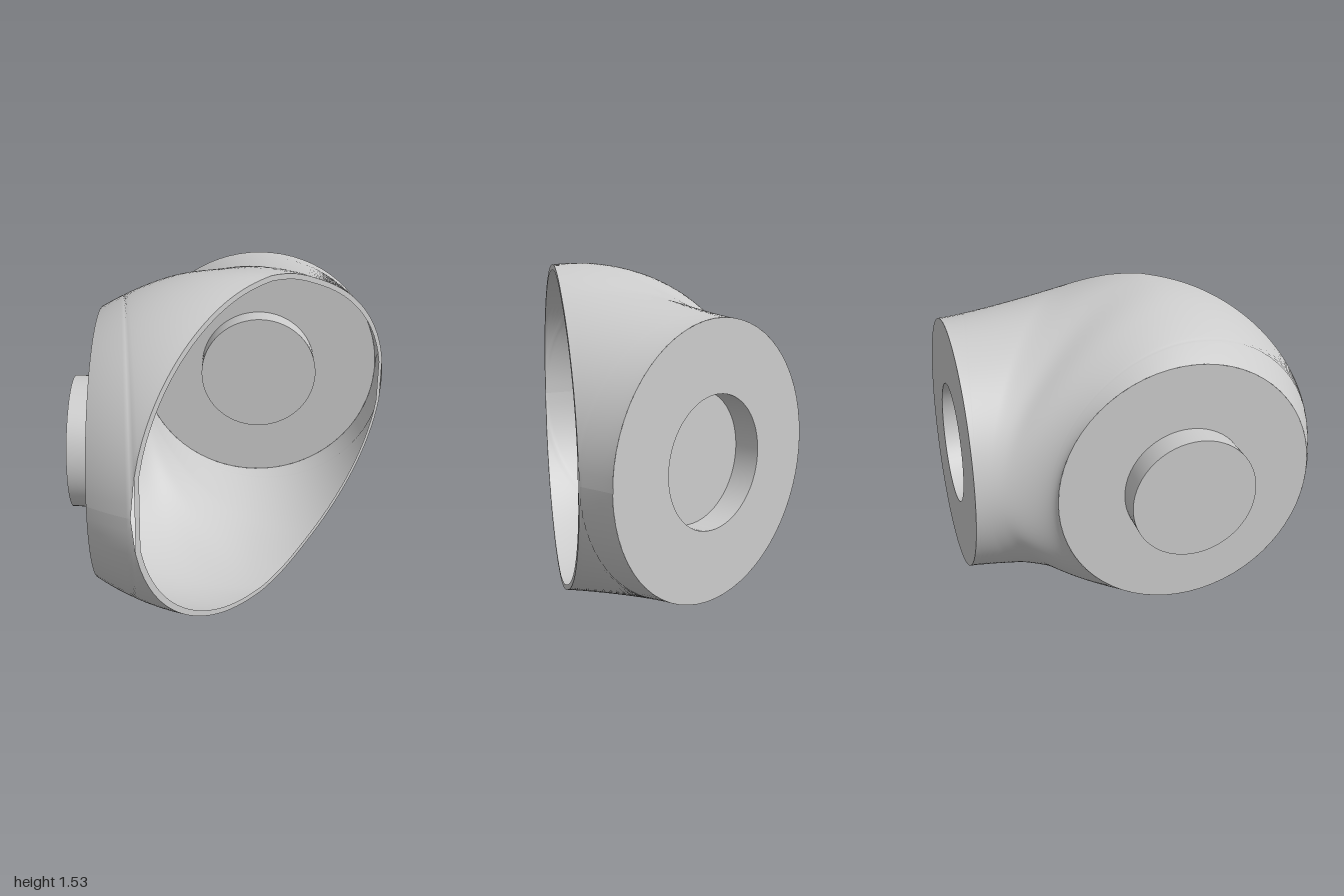
import * as THREE from 'three';
import { toCreasedNormals } from 'three/addons/utils/BufferGeometryUtils.js';

const MID_Y = 0.767;
// Elbow pivot (x, z) and the two directions in which the end discs lie
const PIVOT = [-0.63, -0.255];
const DIR_A = [0.574, 0.819];
const DIR_B = [0.819, -0.574];
const AXIS_A = 0.94, AXIS_B = 0.697;     // distance of each disc centre from the pivot
const RADIUS_A = 0.592, RADIUS_B = 0.6, RADIUS_MID = 0.765;
const RIM_X = 0.4996, RIM_SLOPE = -0.0464; // opening plane: x = RIM_X + RIM_SLOPE * z

const material = new THREE.MeshStandardMaterial({ color: 0xcccccc, side: THREE.DoubleSide });

function toWorld(a, b, y) {
  return [
    PIVOT[0] + a * DIR_A[0] + b * DIR_B[0],
    MID_Y + y,
    PIVOT[1] + a * DIR_A[1] + b * DIR_B[1],
  ];
}

// Flaring radius of the two arms, blended across the bend
function armRadius(theta, rho) {
  const a = rho * Math.cos(theta), b = rho * Math.sin(theta);
  const u = Math.min(1, Math.max(0, b / AXIS_B));
  const v = Math.min(1, Math.max(0, a / AXIS_A));
  const rA = RADIUS_A + (RADIUS_MID - RADIUS_A) * (1 - Math.pow(1 - u, 2.5));
  const rB = RADIUS_B + (RADIUS_MID - RADIUS_B) * Math.pow(v, 1.3);
  return THREE.MathUtils.lerp(rA, rB, THREE.MathUtils.smoothstep(theta, 0.3, 1.0));
}

// One cross-section of the elbow in the half-plane at angle theta
function section(theta, steps) {
  const c = Math.max(Math.cos(theta), 1e-9), s = Math.sin(theta);
  const inner = 1 / Math.hypot(c / (AXIS_A - RADIUS_A), s / (AXIS_B - RADIUS_B));
  const centre = Math.pow(Math.pow(c / AXIS_A, 8) + Math.pow(s / AXIS_B, 8), -1 / 8);
  const g = Math.max(c, s);
  let outer = centre + RADIUS_A / g;
  for (let k = 0; k < 25; k++) outer = centre + armRadius(theta, outer) / g;

  // Cut the section off at the opening plane
  const dx = c * DIR_A[0] + s * DIR_B[0], dz = c * DIR_A[1] + s * DIR_B[1];
  const den = dx - RIM_SLOPE * dz;
  const hit = (RIM_X + RIM_SLOPE * PIVOT[1] - PIVOT[0]) / den;
  const cut = den > 0 && hit < outer;
  const k1 = cut ? (hit - centre) / (hit > centre ? outer - centre : centre - inner) : 1;
  const end = Math.acos(-Math.max(-1, Math.min(1, k1)));

  const points = [];
  for (let j = 0; j <= steps; j++) {
    const psi = end * (2 * j / steps - 1);
    const k = -Math.cos(psi);
    const rho = centre + k * (k < 0 ? centre - inner : outer - centre);
    const r = armRadius(theta, rho);
    const q = k < 0 ? k : (rho - centre) * g / r;
    const y = Math.sign(psi) * r * Math.sqrt(Math.max(0, 1 - q * q));
    points.push(toWorld(rho * c, rho * s, y));
  }
  return { points, cut };
}

// Indexed surface through rows of equal length
function gridSurface(rows) {
  const n = rows[0].length, index = [];
  for (let i = 0; i < rows.length - 1; i++) {
    for (let j = 0; j < n - 1; j++) {
      const p = i * n + j, q = p + n;
      index.push(p, p + 1, q, p + 1, q + 1, q);
    }
  }
  const geometry = new THREE.BufferGeometry();
  geometry.setAttribute('position', new THREE.Float32BufferAttribute(rows.flat(2), 3));
  geometry.setIndex(index);
  geometry.computeVertexNormals();
  return geometry;
}

// End plate with a round pressed step rising along the given direction
function endPlate(name, radius, centre, normal) {
  const profile = [[0, 0.12], [0.288, 0.12], [0.288, 0], [radius, 0]];
  const lathe = new THREE.LatheGeometry(profile.map(([x, y]) => new THREE.Vector2(x, y)), 64);
  const mesh = new THREE.Mesh(toCreasedNormals(lathe, 0.6), material);
  mesh.name = name;
  mesh.position.set(...centre);
  mesh.quaternion.setFromUnitVectors(new THREE.Vector3(0, 1, 0), normal.normalize());
  return mesh;
}

export function createModel() {
  const group = new THREE.Group();
  group.name = 'elbowHousing';

  // Elbow shell, with rows packed closer near both end discs
  const N = 128, M = 72;
  const sections = [];
  for (let i = 0; i <= N; i++) {
    sections.push(section(Math.PI / 4 * (1 - Math.cos(Math.PI * i / N)), M));
  }
  const shell = new THREE.Mesh(gridSurface(sections.map((s) => s.points)), material);
  shell.name = 'shell';
  group.add(shell);

  // Narrow flat lip running round the opening
  const open = sections.filter((s) => s.cut);
  const loop = [
    ...open.map((s) => s.points[M]),
    ...open.map((s) => s.points[0]).reverse(),
  ];
  loop.push(loop[0]);
  const midZ = 0.08;
  const mid = [RIM_X + RIM_SLOPE * midZ, MID_Y, midZ];
  const lipEdge = loop.map((p) => p.map((v, k) => mid[k] + (v - mid[k]) * 0.968));
  const lip = new THREE.Mesh(gridSurface([lipEdge, loop]), material);
  lip.name = 'openingLip';
  group.add(lip);

  // Front plate steps outward, rear plate steps inward
  group.add(endPlate('frontPlate', RADIUS_A, toWorld(AXIS_A, 0, 0),
    new THREE.Vector3(-DIR_B[0], 0, -DIR_B[1])));
  group.add(endPlate('rearPlate', RADIUS_B, toWorld(0, AXIS_B, 0),
    new THREE.Vector3(DIR_A[0], 0, DIR_A[1])));

  return group;
}
